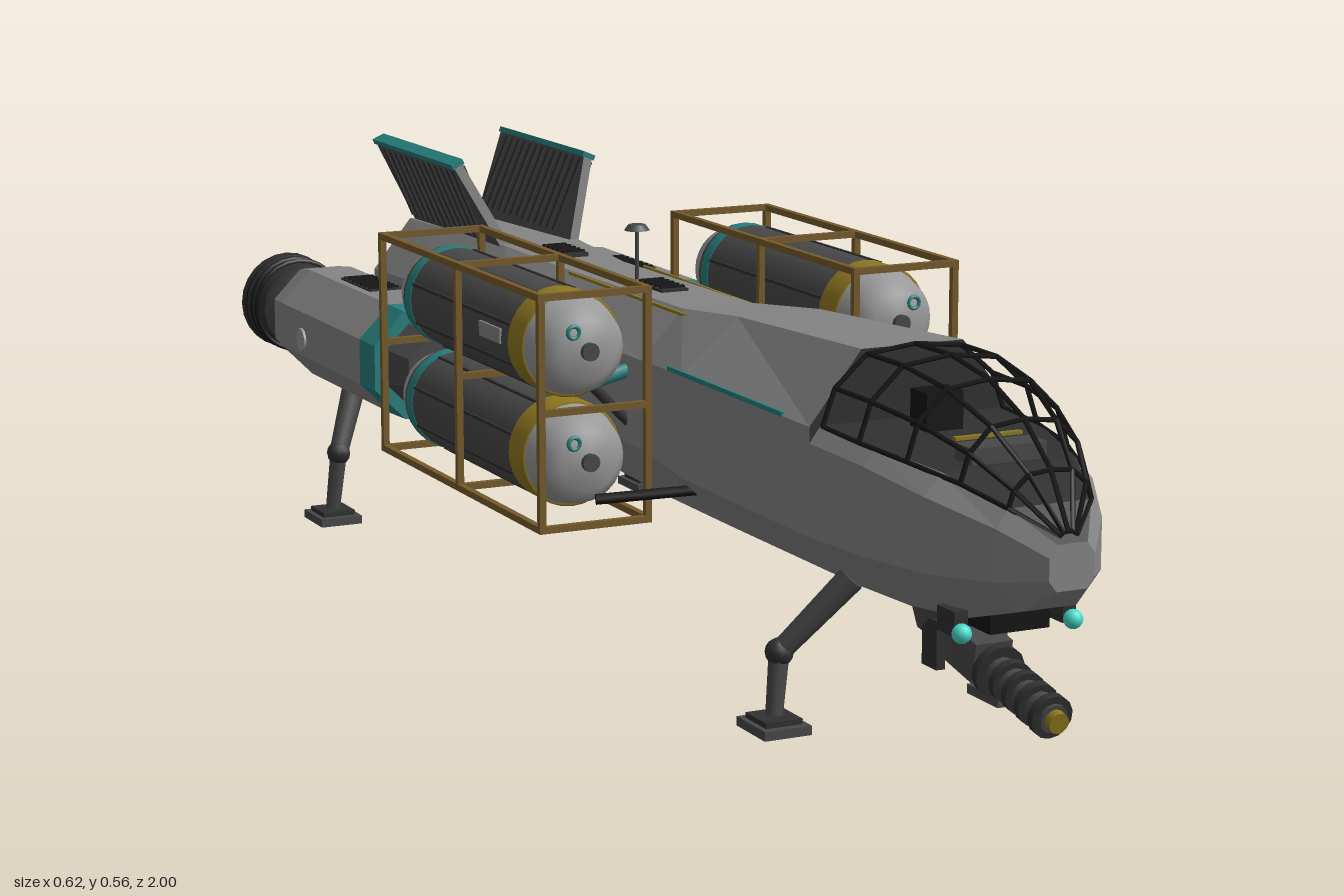
import * as THREE from 'three';

const mat = (name, color, side = THREE.FrontSide) => {
  const m = new THREE.MeshStandardMaterial({ color, side });
  m.name = name;
  return m;
};

export function createModel() {
  const root = new THREE.Group();
  root.name = 'spaceship';
  const hullGrey = mat('hull grey', 0x858585), paleGrey = mat('pale grey', 0x999999);
  const darkGrey = mat('dark grey', 0x484848), charcoal = mat('charcoal', 0x303030);
  const black = mat('black', 0x141414), teal = mat('teal', 0x267f7d);
  const lamp = mat('lamp cyan', 0x45dccb), bronze = mat('bronze', 0x755a2b);
  const yellow = mat('yellow', 0x8e7820);
  const V = (x, y, z) => new THREE.Vector3(x, y, z);

  const add = (name, geo, m, p = [0, 0, 0], parent = root) => {
    const mesh = new THREE.Mesh(geo, m);
    mesh.name = name;
    mesh.position.set(...p);
    parent.add(mesh);
    return mesh;
  };
  const box = (name, w, h, d, m, p, parent) => add(name, new THREE.BoxGeometry(w, h, d), m, p, parent);
  const flat = (g) => { const f = g.toNonIndexed(); f.computeVertexNormals(); return f; };
  const rod = (name, a, b, r, m, parent, r2 = r, sides = 8) => {
    const mesh = add(name, new THREE.CylinderGeometry(r2, r, a.distanceTo(b), sides), m, [0, 0, 0], parent);
    mesh.position.copy(a).lerp(b, 0.5);
    mesh.quaternion.setFromUnitVectors(V(0, 1, 0), b.clone().sub(a).normalize());
    return mesh;
  };
  // lathe along z; profile is [radius, z] with z rising
  const turn = (name, prof, m, x, y, parent, sides = 24, faceted = false) => {
    let g = new THREE.LatheGeometry(prof.map(([r, z]) => new THREE.Vector2(r, z)), sides);
    if (faceted) g = flat(g.rotateY(Math.PI / sides));
    return add(name, g.rotateX(Math.PI / 2), m, [x, y, 0], parent);
  };

  // eight-sided hull loft; groups: skin, front cap, top strip
  // station: [z, half width, side low, side high, top half width, top, bottom half width, bottom]
  const loft = (name, stations, mats) => {
    const rings = stations.map(([z, w, lo, hi, tw, t, bw, b]) => [
      [bw, b], [w, lo], [w, hi], [tw, t], [-tw, t], [-w, hi], [-w, lo], [-bw, b]].map(([x, y]) => V(x, y, z)));
    const parts = [[], [], []];
    for (let i = 0; i + 1 < rings.length; i++) {
      for (let j = 0; j < 8; j++) {
        const k = (j + 1) % 8, p = rings[i], q = rings[i + 1];
        parts[j === 3 ? 2 : 0].push(p[j], p[k], q[k], p[j], q[k], q[j]);
      }
    }
    const first = rings[0], last = rings[rings.length - 1];
    for (let j = 1; j < 7; j++) {
      parts[0].push(first[0], first[j + 1], first[j]);
      parts[1].push(last[0], last[j], last[j + 1]);
    }
    const g = new THREE.BufferGeometry().setFromPoints(parts.flat());
    g.computeVertexNormals();
    let start = 0;
    parts.forEach((p, i) => { g.addGroup(start, p.length, i); start += p.length; });
    return add(name, g, mats);
  };

  loft('mainHull', [
    [-0.88, 0.11, 0.25, 0.34, 0.06, 0.4, 0.09, 0.215],
    [-0.84, 0.125, 0.25, 0.35, 0.065, 0.425, 0.095, 0.205],
    [-0.48, 0.125, 0.25, 0.36, 0.06, 0.435, 0.08, 0.2],
    [-0.3, 0.112, 0.25, 0.37, 0.05, 0.43, 0.07, 0.19],
    [0.1, 0.112, 0.25, 0.37, 0.05, 0.435, 0.07, 0.18],
    [0.28, 0.14, 0.25, 0.385, 0.06, 0.455, 0.07, 0.18],
    [0.63, 0.14, 0.25, 0.385, 0.07, 0.474, 0.07, 0.182],
  ], [hullGrey, charcoal, hullGrey]);
  loft('noseHull', [
    [0.63, 0.14, 0.25, 0.365, 0.125, 0.385, 0.07, 0.182],
    [0.75, 0.132, 0.252, 0.36, 0.115, 0.382, 0.066, 0.185],
    [0.86, 0.113, 0.255, 0.345, 0.09, 0.372, 0.055, 0.195],
    [0.95, 0.07, 0.26, 0.322, 0.055, 0.345, 0.038, 0.222],
    [1.0, 0.03, 0.268, 0.295, 0.02, 0.31, 0.02, 0.255],
  ], [hullGrey, hullGrey, charcoal]);
  box('tailPanel', 0.17, 0.09, 0.008, charcoal, [0, 0.29, -0.882]);

  // cockpit fittings and open canopy frame
  box('seat', 0.05, 0.05, 0.04, black, [0, 0.405, 0.69]);
  box('console', 0.1, 0.02, 0.04, darkGrey, [0, 0.385, 0.84]);
  box('consoleTrim', 0.09, 0.004, 0.008, yellow, [0, 0.397, 0.81]);
  const canopy = new THREE.Group();
  canopy.name = 'canopyFrame';
  root.add(canopy);
  const ribs = [[0.635, 0.125, 0.385, 0.476], [0.72, 0.122, 0.382, 0.477], [0.81, 0.108, 0.376, 0.464],
    [0.89, 0.083, 0.364, 0.432], [0.95, 0.055, 0.345, 0.385], [0.99, 0.012, 0.315, 0.322]]
    .map(([z, w, lo, hi]) => [[-1, 0], [-0.87, 0.5], [-0.52, 0.92], [0, 1], [0.52, 0.92], [0.87, 0.5], [1, 0]]
      .map(([u, v]) => V(u * w, lo + (hi - lo) * v, z)));
  ribs.forEach((rib, i) => rib.forEach((p, j) => {
    if (j < 6) rod('canopyRib', p, rib[j + 1], 0.0032, black, canopy, 0.0032, 5);
    if (i < 5) rod('canopyBar', p, ribs[i + 1][j], 0.0032, black, canopy, 0.0032, 5);
  }));

  // roof vents, seams and antenna
  for (const z of [-0.4, -0.07]) {
    box('roofVent', 0.04, 0.008, 0.085, charcoal, [0, 0.433, z]);
    for (let i = 0; i < 5; i++) box('ventSlat', 0.036, 0.003, 0.006, black, [0, 0.439, z - 0.032 + i * 0.016]);
  }
  rod('antennaMast', V(0, 0.43, -0.15), V(0, 0.505, -0.15), 0.003, darkGrey, root);
  rod('antennaDish', V(0, 0.501, -0.15), V(0, 0.509, -0.15), 0.018, darkGrey, root, 0.012, 14);

  // door and ladder on the left side
  box('doorFrame', 0.008, 0.175, 0.108, yellow, [0.139, 0.323, 0.47]);
  box('door', 0.009, 0.165, 0.096, hullGrey, [0.141, 0.323, 0.47]);
  box('doorWindow', 0.005, 0.035, 0.03, black, [0.145, 0.365, 0.465]);
  for (const z of [0.447, 0.487]) rod('ladderRail', V(0.152, 0.235, z), V(0.207, 0.003, z), 0.0028, charcoal, root);
  for (let i = 0; i < 8; i++) {
    const t = (i + 0.6) / 8, x = 0.152 + 0.055 * t, y = 0.235 - 0.232 * t;
    rod('ladderRung', V(x, y, 0.447), V(x, y, 0.487), 0.002, charcoal, root);
  }

  // chin gun
  box('chinVent', 0.08, 0.025, 0.1, black, [0, 0.193, 0.84]);
  rod('gunTurntable', V(0, 0.15, 0.74), V(0, 0.19, 0.74), 0.045, darkGrey, root, 0.055, 16);
  box('gunBody', 0.05, 0.05, 0.12, darkGrey, [0, 0.14, 0.77]).rotation.x = 0.2;
  const axis = (t) => V(0, 0.138 - 0.045 * t, 0.76 + 0.22 * t);
  rod('gunBarrel', axis(0), axis(0.95), 0.022, darkGrey, root, 0.018, 12);
  [0.35, 0.48, 0.61, 0.74, 0.88].forEach((t, i) =>
    rod('gunRing', axis(t), axis(t + 0.05), i === 0 ? 0.033 : 0.027, charcoal, root, undefined, 14));
  rod('gunTip', axis(0.94), axis(1), 0.013, yellow, root, 0.013, 12);

  const hinge = (name, p, r) => add(name, new THREE.SphereGeometry(r, 10, 8), charcoal, p.toArray());
  const leg = (name, hip, knee, ankle) => {
    rod(name + 'Upper', hip, knee, 0.018, darkGrey, root, 0.014);
    hinge(name + 'Knee', knee, 0.018);
    rod(name + 'Lower', knee, ankle, 0.013, darkGrey, root, 0.011);
    box(name + 'Pad', 0.064, 0.012, 0.076, darkGrey, [ankle.x, 0.006, ankle.z]);
    box(name + 'PadTop', 0.05, 0.008, 0.055, charcoal, [ankle.x, 0.015, ankle.z]);
  };

  for (const s of [-1, 1]) {
    // gun yoke, lamps, side arms and legs
    box('gunYoke', 0.012, 0.06, 0.035, charcoal, [s * 0.04, 0.14, 0.76]);
    add('lamp', new THREE.SphereGeometry(0.012, 12, 8), lamp, [s * 0.075, 0.185, 0.885]);
    box('lampBracket', 0.018, 0.03, 0.04, charcoal, [s * 0.073, 0.195, 0.86]);
    rod('sideArm', V(s * 0.1, 0.226, 0.255), V(s * 0.23, 0.217, 0.212), 0.007, black, root);
    leg('frontLeg', V(s * 0.075, 0.19, 0.62), V(s * 0.153, 0.096, 0.58), V(s * 0.163, 0.02, 0.587));
    leg('rearLeg', V(s * 0.212, 0.21, -0.7), V(s * 0.254, 0.105, -0.668), V(s * 0.262, 0.02, -0.675));
    box('sideStripe', 0.004, 0.006, 0.32, teal, [s * 0.139, 0.387, 0.4]);
    box('roofStripe', 0.004, 0.004, 0.5, yellow, [s * 0.058, 0.43, 0]);

    // engine pod, nozzle and mounts
    const pod = new THREE.Group();
    pod.name = 'enginePod';
    root.add(pod);
    const ex = s * 0.212, ey = 0.283;
    turn('engineIntake', [[0.066, -0.415], [0.052, -0.36], [0, -0.36]], darkGrey, ex, ey, pod, 8, true);
    turn('engineBand', [[0.087, -0.47], [0.085, -0.415], [0.06, -0.415]], teal, ex, ey, pod, 8, true);
    turn('engineBody', [[0.05, -0.85], [0.08, -0.85], [0.087, -0.8], [0.087, -0.47]], hullGrey, ex, ey, pod, 8, true);
    turn('engineCollar', [[0, -0.92], [0.066, -0.92], [0.072, -0.84]], darkGrey, ex, ey, pod, 16);
    turn('nozzle', [[0, -0.925], [0.055, -0.93], [0.069, -1], [0.075, -1], [0.066, -0.93], [0.058, -0.91]], charcoal, ex, ey, pod);
    for (const z of [-0.985, -0.965, -0.945])
      add('nozzleRing', new THREE.TorusGeometry(0.07, 0.004, 6, 24), black, [ex, ey, z], pod);
    box('engineVent', 0.05, 0.008, 0.12, charcoal, [s * 0.208, 0.362, -0.64], pod);
    for (let i = 0; i < 7; i++) box('ventSlat', 0.046, 0.003, 0.006, black, [s * 0.208, 0.367, -0.69 + i * 0.017], pod);
    rod('enginePort', V(s * 0.29, 0.275, -0.71), V(s * 0.296, 0.275, -0.71), 0.017, paleGrey, pod, 0.017, 14);
    box('engineMount', 0.05, 0.06, 0.3, darkGrey, [s * 0.125, 0.285, -0.65], pod);

    // tilted tail fin with ribs and a coloured edge
    const fin = new THREE.Group();
    fin.name = 'tailFin';
    fin.position.set(s * 0.054, 0.43, 0);
    fin.rotation.z = -s * 0.41;
    root.add(fin);
    const outline = new THREE.Shape([[-0.83, -0.01], [-0.48, -0.01], [-0.545, 0.128], [-0.86, 0.128]]
      .map(([z, y]) => new THREE.Vector2(z, y)));
    const finGeo = new THREE.ExtrudeGeometry(outline, { depth: 0.014, bevelEnabled: false });
    add('finPlate', finGeo.translate(0, 0, -0.007).rotateY(-Math.PI / 2), darkGrey, [0, 0, 0], fin);
    for (let i = 0; i < 13; i++) box('finRib', 0.02, 0.115, 0.008, charcoal, [0, 0.065, -0.825 + i * 0.023], fin);
    box('finEdge', 0.02, 0.008, 0.318, teal, [0, 0.13, -0.702], fin);

    // stacked fuel tanks
    for (const y of [0.408, 0.262]) {
      const tank = new THREE.Group();
      tank.name = 'fuelTank';
      root.add(tank);
      const x = s * 0.229;
      turn('tankRearCap', [[0, -0.335], [0.04, -0.333], [0.058, -0.315], [0.067, -0.285]], paleGrey, x, y, tank, 28);
      turn('tankBody', [[0.067, -0.285], [0.069, -0.28], [0.069, 0.092]], darkGrey, x, y, tank, 28);
      turn('tankTealBand', [[0.069, -0.272], [0.0705, -0.272], [0.0705, -0.252], [0.069, -0.252]], teal, x, y, tank, 28);
      turn('tankYellowBand', [[0.069, 0.09], [0.0705, 0.09], [0.0705, 0.135], [0.067, 0.135]], yellow, x, y, tank, 28);
      turn('tankFrontCap', [[0.067, 0.135], [0.058, 0.17], [0.04, 0.19], [0, 0.192]], paleGrey, x, y, tank, 28);
      for (const z of [-0.336, 0.193])
        rod('tankHub', V(x, y, z - 0.006), V(x, y, z + 0.006), 0.012, darkGrey, tank, 0.012, 12);
      add('tankValve', new THREE.TorusGeometry(0.008, 0.003, 6, 14), teal, [s * 0.25, y + 0.026, 0.19], tank);
      for (const a of [0.4, 1.2, 2, 2.8, 3.6, 4.4, 5.2, 6])
        box('tankRail', 0.004, 0.004, 0.34, charcoal, [x + 0.069 * Math.cos(a), y + 0.069 * Math.sin(a), -0.08], tank);
    }
    box('tankPlacard', 0.004, 0.02, 0.07, hullGrey, [s * 0.298, 0.412, 0.03]);
    for (const z of [-0.25, 0.05]) {
      rod('tankStrut', V(s * 0.1, 0.35, z), V(s * 0.165, 0.335, z), 0.01, teal, root);
      rod('tankStrut', V(s * 0.1, 0.27, z), V(s * 0.165, 0.335, z), 0.007, charcoal, root);
    }

    // tank cage
    const cage = new THREE.Group();
    cage.name = 'tankCage';
    root.add(cage);
    const b = 0.009, xs = [0.1525, 0.303], ys = [0.182, 0.335, 0.486], zs = [-0.345, -0.07, 0.205];
    for (const x of xs) {
      for (const y of [ys[0], ys[2]]) box('cageRail', b, b, 0.559, bronze, [s * x, y, -0.07], cage);
      for (const z of zs) box('cagePost', b, 0.31, b, bronze, [s * x, 0.334, z], cage);
    }
    for (const y of ys) for (const z of zs) box('cageBar', 0.155, b, b, bronze, [s * 0.228, y, z], cage);
  }
  return root;
}
